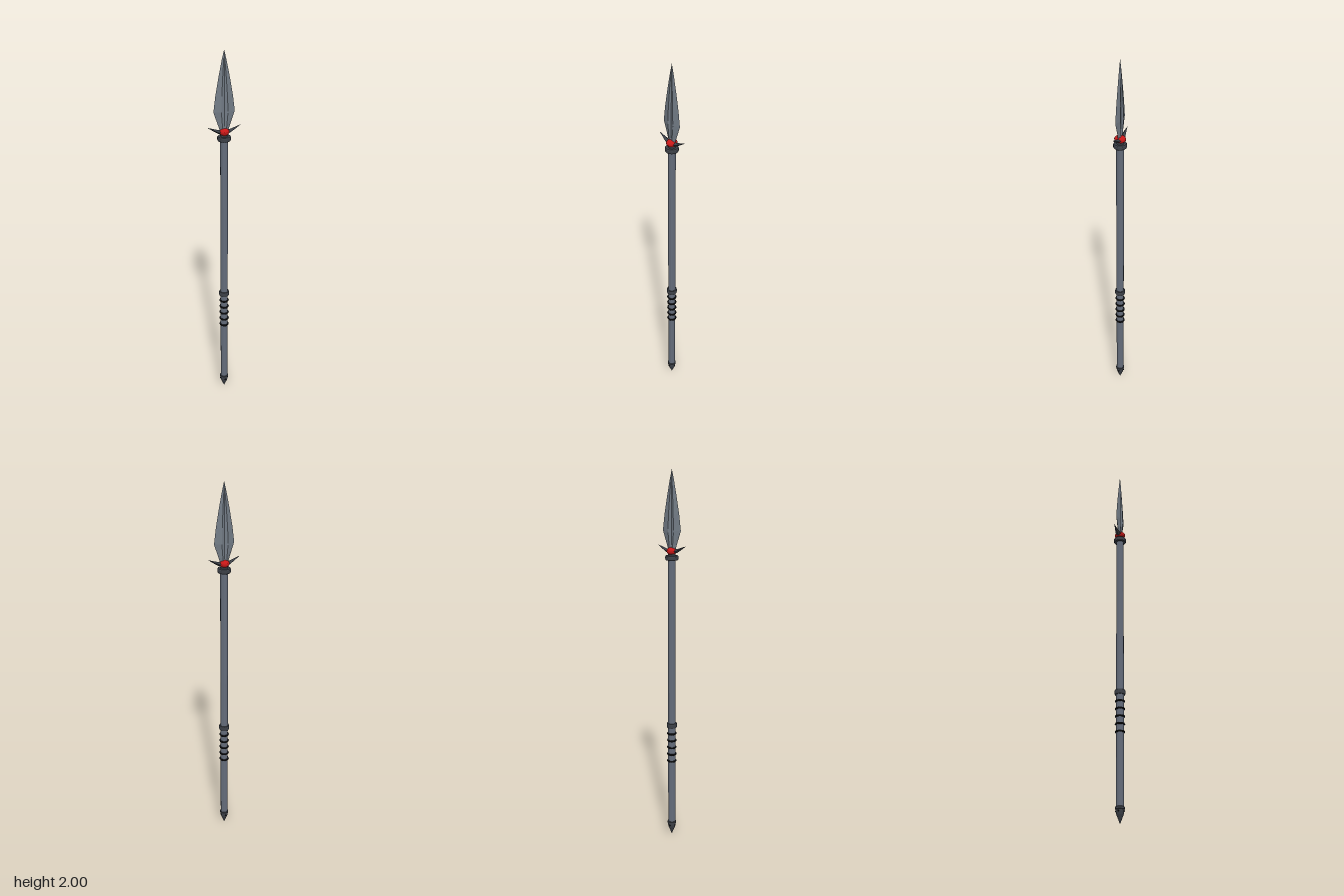
import * as THREE from 'three';

const mat = (color) => new THREE.MeshStandardMaterial({ color, flatShading: true });

// Skin a series of equal-length cross-sections with flat facets
function loft(sections) {
  const n = sections[0].length, index = [];
  for (let i = 0; i < sections.length - 1; i++) {
    for (let j = 0; j < n; j++) {
      const a = i * n + j, b = i * n + (j + 1) % n;
      index.push(a, a + n, b, b, a + n, b + n);
    }
  }
  const geo = new THREE.BufferGeometry();
  geo.setAttribute('position', new THREE.Float32BufferAttribute(sections.flat(2), 3));
  geo.setIndex(index);
  const flat = geo.toNonIndexed();
  flat.computeVertexNormals();
  return flat;
}

// Turned part from [radius, height] pairs, bottom to top
function turned(profile, sides) {
  return new THREE.LatheGeometry(profile.map(([r, y]) => new THREE.Vector2(r, y)), sides);
}

export function createModel() {
  const group = new THREE.Group();
  const steel = mat(0x737c86), shaftMetal = mat(0x646c7a), dark = mat(0x3c4047);
  const black = mat(0x111214), red = mat(0xc81818);

  const add = (name, geometry, material, y = 0) => {
    const mesh = new THREE.Mesh(geometry, material);
    mesh.name = name;
    mesh.position.y = y;
    group.add(mesh);
    return mesh;
  };

  // Shaft
  add('shaft', new THREE.CylinderGeometry(0.02, 0.02, 1.5, 12), shaftMetal, 0.82);

  // Pointed foot with a raised band and rivets
  add('footSpike', turned([[0, 0], [0.018, 0.045], [0.021, 0.06], [0.021, 0.08]], 12), dark);
  add('footBand', turned([[0.02, 0.068], [0.024, 0.07], [0.024, 0.08], [0.02, 0.083]], 12), dark);
  for (let i = 0; i < 4; i++) {
    const a = i * Math.PI / 2;
    const rivet = add('footRivet', new THREE.SphereGeometry(0.004, 8, 6), black, 0.06);
    rivet.position.x = 0.021 * Math.cos(a);
    rivet.position.z = 0.021 * Math.sin(a);
  }

  // Grip: wrapped rings below a collar
  for (let i = 0; i < 5; i++) {
    const ring = add('gripRing', new THREE.TorusGeometry(0.0215, 0.005, 6, 16), black, 0.45 + i * 0.04);
    ring.rotation.x = Math.PI / 2;
  }
  add('gripCollar', turned([[0.02, 0.645], [0.026, 0.645], [0.028, 0.65], [0.028, 0.665], [0.026, 0.67], [0.02, 0.67]], 16), dark);

  // Head collar and the neck that carries the jewel
  add('headCollar', turned([[0.02, 1.552], [0.031, 1.552], [0.034, 1.557], [0.034, 1.57], [0.031, 1.575], [0, 1.575]], 16), dark);
  add('neck', new THREE.CylinderGeometry(0.016, 0.02, 0.03, 12), dark, 1.585);

  // Jewel
  add('jewel', new THREE.SphereGeometry(0.03, 14, 10), red, 1.598).scale.set(0.85, 0.65, 1);

  // Swept guard spikes: [x, centre height, half height, half depth]
  const spike = loft([
    [0, 1.596, 0.009, 0.017], [0.03, 1.599, 0.01, 0.014],
    [0.055, 1.611, 0.006, 0.007], [0.086, 1.627, 0, 0],
  ].map(([x, y, h, d]) => [[x, y, d], [x, y + h, 0], [x, y, -d], [x, y - h, 0]]));
  for (const turn of [0, Math.PI]) add('guardSpike', spike, dark).rotation.y = turn;

  // Leaf blade with a shallow central groove:
  // [y, half width, ridge offset, ridge half depth, groove half depth]
  const blade = loft([
    [1.595, 0, 0, 0, 0], [1.6, 0.02, 0.009, 0.008, 0.006], [1.63, 0.03, 0.011, 0.009, 0.005],
    [1.7, 0.054, 0.017, 0.01, 0.004], [1.78, 0.044, 0.014, 0.009, 0.004],
    [1.87, 0.028, 0.009, 0.006, 0.003], [1.95, 0.012, 0.003, 0.003, 0.002], [2, 0, 0, 0, 0],
  ].map(([y, w, r, t, g]) => [
    [w, y, 0], [r, y, t], [0, y, g], [-r, y, t],
    [-w, y, 0], [-r, y, -t], [0, y, -g], [r, y, -t],
  ]));
  add('blade', blade, steel);

  return group;
}
